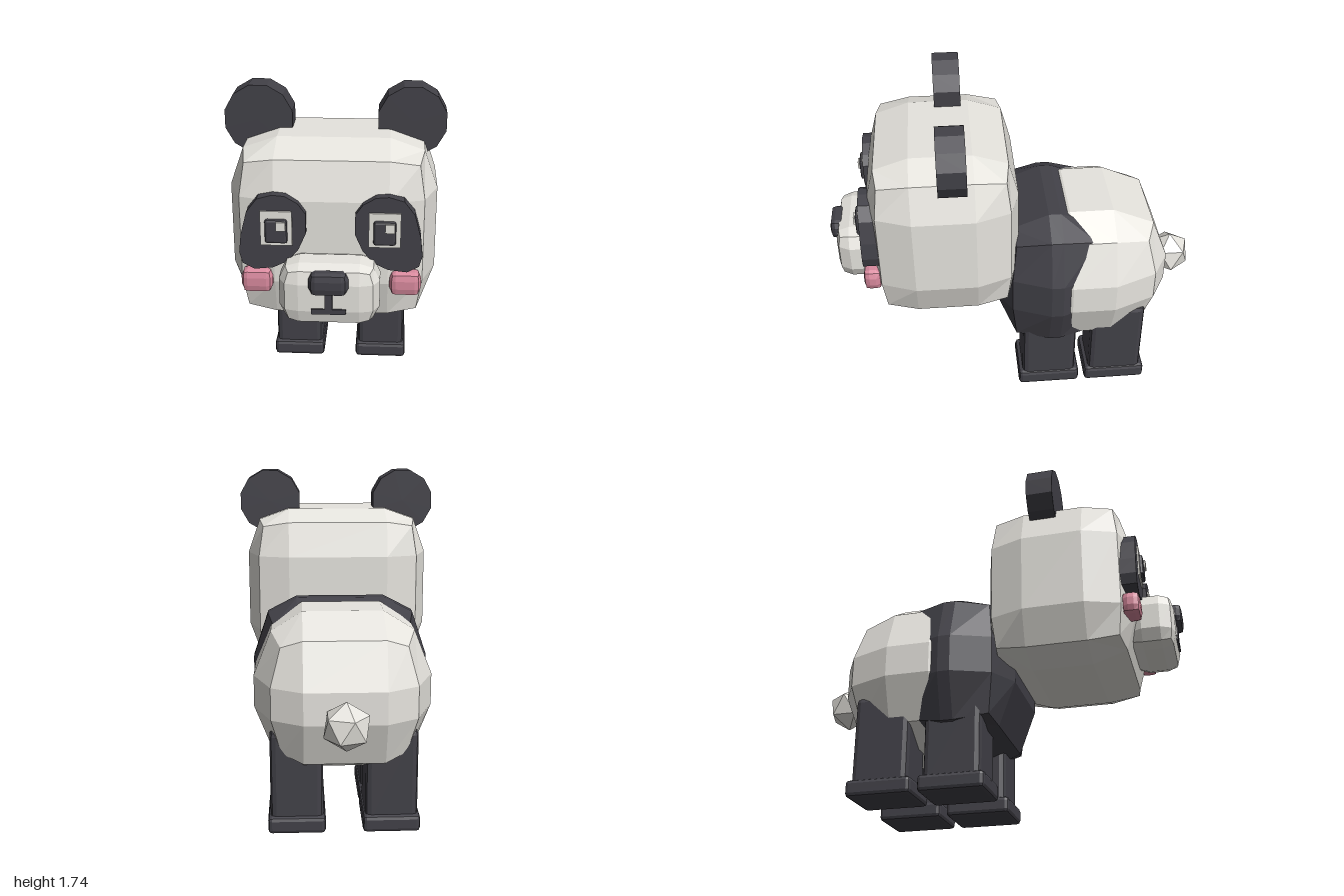
import * as THREE from 'three';
import { RoundedBoxGeometry } from 'three/addons/geometries/RoundedBoxGeometry.js';

const mat = (name, color) => new THREE.MeshStandardMaterial({ name, color });

// Give a geometry one normal per face
function facet(geo) {
  const g = geo.index ? geo.toNonIndexed() : geo;
  g.computeVertexNormals();
  return g;
}

// Swollen box: 3x3 faces per side, with edges and corners pulled inwards.
// half = half sizes, inner = half size of the middle face (fraction per axis)
function blob(half, inner, edge, corner) {
  const geo = new THREE.BoxGeometry(2, 2, 2, 3, 3, 3);
  const p = geo.attributes.position;
  const pull = [1, 1, edge, corner];
  for (let i = 0; i < p.count; i++) {
    const v = [p.getX(i), p.getY(i), p.getZ(i)];
    const extremes = v.filter((c) => Math.abs(c) > 0.9).length;
    const out = v.map((c, a) => {
      const size = Math.abs(c) > 0.9
        ? (Array.isArray(pull[extremes]) ? pull[extremes][a] : pull[extremes])
        : inner[a];
      return Math.sign(c) * size * half[a];
    });
    p.setXYZ(i, ...out);
  }
  return facet(geo);
}

// Box with chamfered edges
const chamfer = (w, h, d, r) => facet(new RoundedBoxGeometry(w, h, d, 1, r));

export function createModel() {
  const model = new THREE.Group();
  model.name = 'bear';
  const white = mat('white fur', 0xe6e4de);
  const dark = mat('dark fur', 0x424148);
  const pink = mat('pink cheek', 0xd98a9e);

  const add = (name, geo, material, x, y, z) => {
    const mesh = new THREE.Mesh(geo, material);
    mesh.name = name;
    mesh.position.set(x, y, z);
    model.add(mesh);
    return mesh;
  };

  // Body and the dark band around the shoulders
  add('body', blob([0.45, 0.41, 0.43], [0.45, 0.2, 0.27], [0.8, 0.76, 0.79], [0.69, 0.66, 0.69]),
    white, 0, 0.69, -0.39);
  add('shoulders', blob([0.46, 0.415, 0.32], [0.5, 0.24, 0.1], [0.83, 0.81, 0.73], [0.76, 0.74, 0.66]),
    dark, 0, 0.695, -0.19);

  // Head
  add('head', blob([0.5, 0.45, 0.385], [0.54, 0.46, 0.41], 0.87, 0.82), white, 0, 1.08, 0.39);

  // Muzzle, nose and mouth
  add('muzzle', blob([0.235, 0.148, 0.12], [0.6, 0.45, 0.4], 0.87, 0.8), white, 0, 0.885, 0.845);
  add('nose', blob([0.092, 0.055, 0.04], [0.65, 0.35, 0.35], 0.85, 0.8), dark, 0, 0.965, 0.96);
  add('mouthStem', new THREE.BoxGeometry(0.036, 0.1, 0.02), dark, 0, 0.87, 0.963);
  add('mouthLine', new THREE.BoxGeometry(0.16, 0.026, 0.04), dark, 0, 0.821, 0.953);

  // Eye patch outline on the +x side, anticlockwise
  const patch = new THREE.Shape([
    [0.27, 1.33], [0.21, 1.325], [0.15, 1.29], [0.115, 1.24], [0.115, 1.14], [0.15, 1.06],
    [0.2, 1.0], [0.27, 0.965], [0.36, 0.955], [0.415, 0.985], [0.43, 1.04], [0.42, 1.13],
    [0.39, 1.245], [0.34, 1.31],
  ].map(([x, y]) => new THREE.Vector2(x, y)));
  const mirrored = new THREE.Shape(patch.getPoints().map((q) => new THREE.Vector2(-q.x, q.y)));

  for (const [side, s] of [['left', 1], ['right', -1]]) {
    // Ears
    const ear = add(side + 'Ear', facet(new THREE.CylinderGeometry(0.175, 0.175, 0.14, 12)
      .rotateY(Math.PI / 12).rotateX(Math.PI / 2)), dark, s * 0.375, 1.57, 0.34);
    ear.scale.set(0.98, 1, 1);

    // Eyes
    const shape = s > 0 ? patch : mirrored;
    add(side + 'EyePatch', facet(new THREE.ExtrudeGeometry(shape, { depth: 0.1, bevelEnabled: false })),
      dark, 0, 0, 0.71);
    add(side + 'EyeWhite', new THREE.BoxGeometry(0.148, 0.17, 0.009), white, s * 0.252, 1.168, 0.8145);
    add(side + 'Pupil', chamfer(0.105, 0.12, 0.04, 0.012), dark, s * 0.252, 1.157, 0.816);
    add(side + 'EyeGlint', new THREE.BoxGeometry(0.044, 0.042, 0.009), white,
      s * 0.252 + 0.024, 1.187, 0.84);

    // Cheeks
    add(side + 'Cheek', blob([0.075, 0.058, 0.045], [0.6, 0.35, 0.35], 0.85, 0.8),
      pink, s * 0.353, 0.885, 0.77);

    // Legs and feet
    for (const [end, z] of [['Front', -0.165], ['Hind', -0.545]]) {
      add(side + end + 'Leg', chamfer(0.265, 0.5, 0.3, 0.03), dark, s * 0.238, 0.285, z);
      add(side + end + 'Foot', chamfer(0.29, 0.088, 0.346, 0.02), dark, s * 0.238, 0.044, z);
    }
  }

  // Tail
  add('tail', facet(new THREE.IcosahedronGeometry(0.123, 0).rotateZ(Math.atan(2 / (1 + Math.sqrt(5))))),
    white, 0, 0.628, -0.89);

  return model;
}
